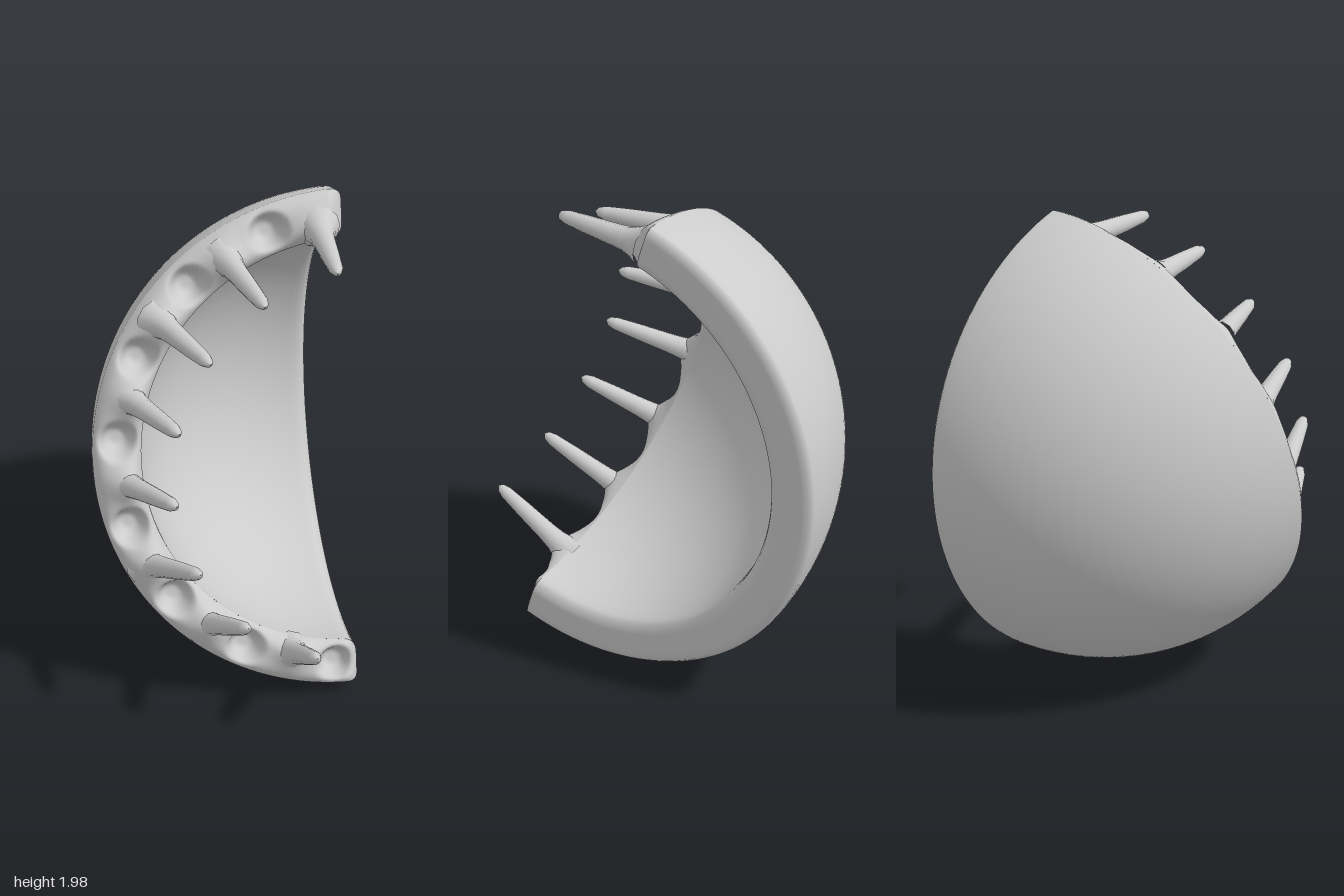
import * as THREE from 'three';
import { ParametricGeometry } from 'three/addons/geometries/ParametricGeometry.js';

const CENTER = new THREE.Vector3(0.51, 1.015, 0.2);
const TILT = 0.32; // backward lean of the front rim
const R_OUT = 1.015, R_IN = 0.825, R_MID = 0.92;

// Teeth, top to bottom: base and tip
const TEETH = [
  [[0.41, 1.86, 0.02], [0.40, 1.88, 0.35]],
  [[0.06, 1.77, 0.03], [0.13, 1.78, 0.375]],
  [[-0.20, 1.565, 0.10], [-0.08, 1.59, 0.43]],
  [[-0.335, 1.29, 0.18], [-0.21, 1.35, 0.51]],
  [[-0.375, 0.97, 0.27], [-0.235, 1.085, 0.595]],
  [[-0.30, 0.65, 0.38], [-0.16, 0.82, 0.68]],
  [[-0.09, 0.39, 0.46], [0.01, 0.60, 0.76]],
  [[0.24, 0.25, 0.53], [0.27, 0.46, 0.815]],
].map((pair) => pair.map((p) => new THREE.Vector3(...p)));

// Half of the wall section (x, radius): arc from the pole, then a rounded lip to mid face
function wallCurve(radius, round) {
  const path = new THREE.Path();
  const side = Math.sign(R_MID - radius);
  path.absarc(0, 0, radius, Math.PI, Math.PI / 2 + round / radius, true);
  path.quadraticCurveTo(0, radius, 0, radius + side * round);
  path.lineTo(0, R_MID);
  return path;
}

function createShell(material) {
  const N = 96;
  const outer = wallCurve(R_OUT, 0.04).getSpacedPoints(N);
  const inner = wallCurve(R_IN, 0.06).getSpacedPoints(N);
  const at = (points, s) => {
    const f = THREE.MathUtils.clamp(s, 0, 1) * N;
    const i = Math.min(Math.floor(f), N - 1);
    return points[i].clone().lerp(points[i + 1], f - i);
  };

  // Collars sit under the teeth, sockets between them
  const collars = TEETH.map(([base]) =>
    base.clone().sub(CENTER).applyAxisAngle(new THREE.Vector3(1, 0, 0), TILT));
  const angles = collars.map((p) => Math.atan2(-p.x, p.y));
  angles.push(2 * (Math.PI - 0.1) - angles[angles.length - 1]);
  const sockets = angles.slice(1).map((a, i) => {
    const mid = (a + angles[i]) / 2;
    return { x: -R_MID * Math.sin(mid), y: R_MID * Math.cos(mid) };
  });
  const bump = (x, y, c, size) =>
    Math.exp(-Math.pow(Math.hypot(x - c.x, y - c.y) / size, 2));
  const bowl = (x, y, c, size) =>
    Math.exp(-Math.pow(Math.hypot(x - c.x, y - c.y) / size, 4));

  // Curved wall, swept half a turn about the x axis
  const wall = new ParametricGeometry((u, v, target) => {
    const p = u <= 0.5 ? at(outer, 2 * u) : at(inner, 2 - 2 * u);
    const a = v * Math.PI;
    target.set(p.x, p.y * Math.cos(a), -p.y * Math.sin(a));
  }, 128, 72);

  // Front rim, closing both ends of the sweep
  const rim = new ParametricGeometry((u, v, target) => {
    const s = Math.abs(2 * v - 1);
    const p = at(inner, s).lerp(at(outer, s), u);
    const y = v < 0.5 ? p.y : -p.y;
    const mask = (1 - Math.pow(2 * u - 1, 4)) * THREE.MathUtils.smoothstep(-p.x, 0, 0.06);
    let h = 0.04;
    for (const c of collars) h += 0.055 * bump(p.x, y, c, 0.075);
    for (const c of sockets) h -= 0.085 * bowl(p.x, y, c, 0.065);
    target.set(p.x, y, h * mask);
  }, 24, 280);

  const shell = new THREE.Group();
  shell.name = 'shell';
  for (const [name, geometry] of [['shellWall', wall], ['toothedRim', rim]]) {
    const mesh = new THREE.Mesh(geometry, material);
    mesh.name = name;
    shell.add(mesh);
  }
  shell.position.copy(CENTER);
  shell.rotation.x = -TILT;
  return shell;
}

// Slim spike with a flared root and a short point
function createTooth(base, tip, material) {
  const dir = tip.clone().sub(base);
  const length = dir.length();
  const profile = [
    [0.085, -0.07], [0.062, -0.03], [0.047, 0.02], [0.041, 0.08],
    [0.034, length * 0.6], [0.027, length - 0.045], [0.018, length - 0.015], [0, length],
  ].map(([r, y]) => new THREE.Vector2(r, y));
  const tooth = new THREE.Mesh(new THREE.LatheGeometry(profile, 12), material);
  tooth.position.copy(base);
  tooth.quaternion.setFromUnitVectors(new THREE.Vector3(0, 1, 0), dir.normalize());
  return tooth;
}

export function createModel() {
  const material = new THREE.MeshStandardMaterial({ color: 0xcccccc });
  const model = new THREE.Group();
  model.name = 'toothedHalfShell';
  model.add(createShell(material));

  const teeth = new THREE.Group();
  teeth.name = 'teeth';
  TEETH.forEach(([base, tip], i) => {
    const tooth = createTooth(base, tip, material);
    tooth.name = `tooth${i + 1}`;
    teeth.add(tooth);
  });
  model.add(teeth);
  return model;
}
